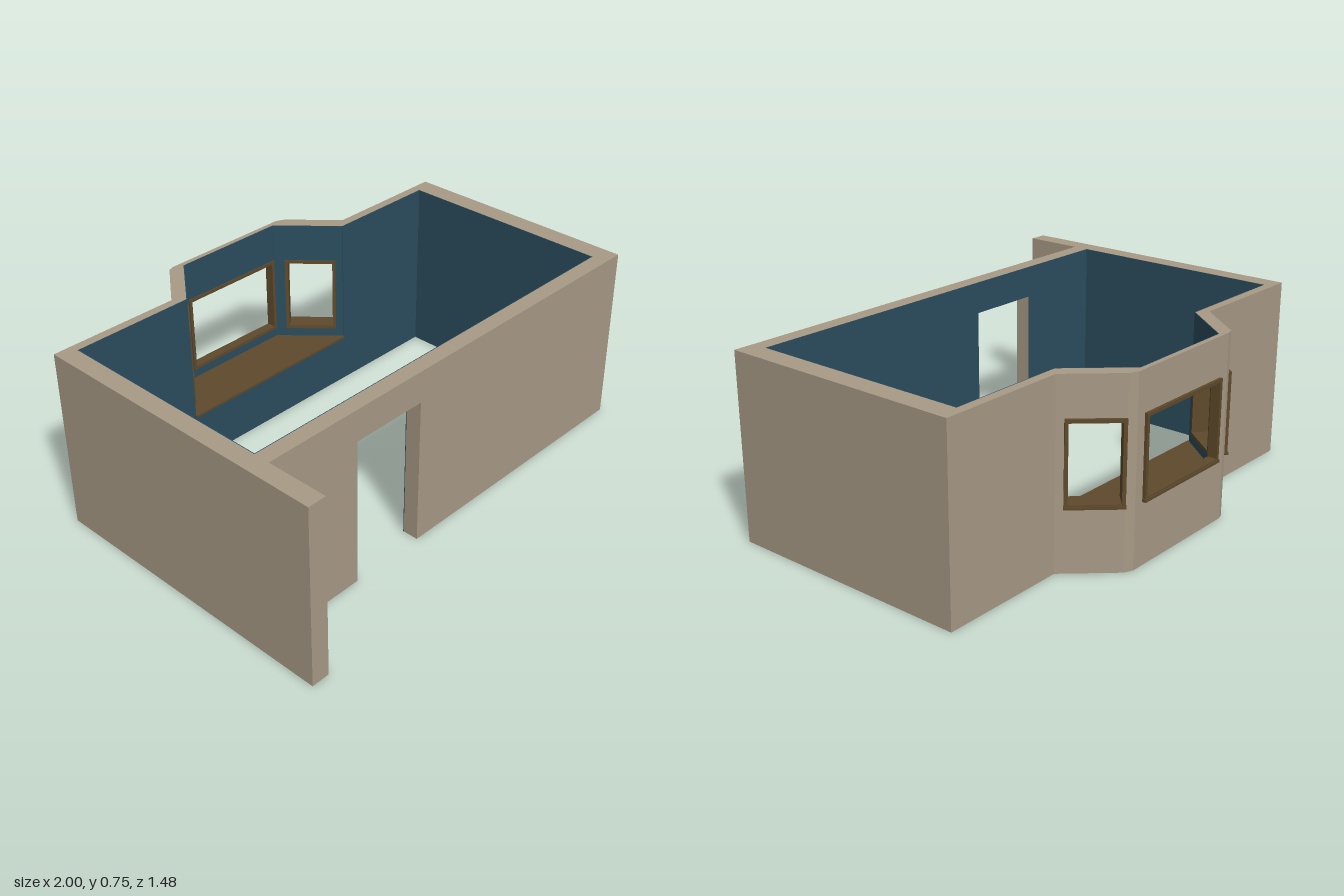
import * as THREE from 'three';

const H = 0.745, SEAT = 0.21;          // wall height, window seat height
const WIN = [0.255, 0.585];            // window bottom and top
const plaster = new THREE.MeshStandardMaterial({ color: 0xa89a86 });
const paint = new THREE.MeshStandardMaterial({ color: 0x2b4d5e });
const wood = new THREE.MeshStandardMaterial({ color: 0x5f4a2c });

export function createModel() {
  const model = new THREE.Group();
  const add = (name, geo, mat) => {
    const mesh = new THREE.Mesh(geo, mat);
    mesh.name = name;
    model.add(mesh);
    return mesh;
  };

  // Horizontal footprint of [x, z] points raised from y0 to y1
  const slab = (name, mat, pts, y0, y1) => {
    const shape = new THREE.Shape(pts.map(([x, z]) => new THREE.Vector2(x, -z)));
    const geo = new THREE.ExtrudeGeometry(shape, { depth: y1 - y0, bevelEnabled: false });
    geo.rotateX(-Math.PI / 2).translate(0, y0, 0);
    return add(name, geo, mat);
  };
  const block = (name, mat, x0, x1, z0, z1, y0, y1) =>
    slab(name, mat, [[x0, z0], [x1, z0], [x1, z1], [x0, z1]], y0, y1);

  // Upright panel from p to q (clockwise round the room, so local +z faces inward);
  // hole = [a, b, bottom, top] along the panel, a hole at floor level is a doorway
  const panel = (name, mat, p, q, [y0, y1], [d0, d1], hole) => {
    const w = Math.hypot(q[0] - p[0], q[1] - p[1]);
    const V = (x, y) => new THREE.Vector2(x, y);
    const outline = [V(0, y0)];
    const [a, b, h0, h1] = hole || [];
    if (hole && h0 === y0) outline.push(V(a, y0), V(a, h1), V(b, h1), V(b, y0));
    outline.push(V(w, y0), V(w, y1), V(0, y1));
    const shape = new THREE.Shape(outline);
    if (hole && h0 > y0) shape.holes.push(new THREE.Path([V(a, h0), V(a, h1), V(b, h1), V(b, h0)]));
    const geo = new THREE.ExtrudeGeometry(shape, { depth: d1 - d0, bevelEnabled: false });
    geo.translate(0, 0, d0);
    const mesh = add(name, geo, mat);
    mesh.position.set(p[0], 0, p[1]);
    mesh.rotation.y = Math.atan2(p[1] - q[1], q[0] - p[0]);
    return mesh;
  };
  const SKIN = [0, 0.003];

  // Main walls, the right one running on past the front
  const xL = -0.925, xR = 0.915, zF = 0.425, zB = -0.49;
  block('rightWall', plaster, -1, xL, -0.528, 0.74, 0, H);
  block('leftWall', plaster, xR, 1, -0.528, 0.49, 0, H);
  const door = [xR + 0.195, xR + 0.52, 0, 0.615];
  panel('frontWall', plaster, [xR, zF], [xL, zF], [0, H], [-0.065, 0], door);
  panel('frontLining', paint, [xR, zF], [xL, zF], [0, H], SKIN, door);
  panel('rightLining', paint, [xL, zF], [xL, zB], [0, H], SKIN);
  panel('leftLining', paint, [xR, zB], [xR, zF], [0, H], SKIN);

  // Plan of one slanted side of the bay
  const T = 0.056, zIn = -0.705, zOut = -0.725, t0 = 0.03, t1 = 0.245;
  const baySide = (i0, i1, winX) => {
    const len = Math.hypot(i1[0] - i0[0], i1[1] - i0[1]);
    const dx = (i1[0] - i0[0]) / len, dz = (i1[1] - i0[1]) / len;
    const s = Math.sign(i0[0]);
    const n = [-s * dz, s * dx];       // outward normal
    const inner = t => [i0[0] + dx * t, i0[1] + dz * t];
    const outer = t => [inner(t)[0] + n[0] * T, inner(t)[1] + n[1] * T];
    const o0 = outer(0);
    const cornerX = o0[0] + dx * (zOut - o0[1]) / dz;
    return { i0, i1, winX, len, inner, outer, o0, c1: outer(t1), c2: [cornerX - s * 0.02, zOut] };
  };
  const R = baySide([-0.42, zB], [-0.25, zIn], -0.24);
  const L = baySide([0.43, zB], [0.235, zIn], 0.23);

  // Back wall beside the bay
  for (const [side, x, name] of [[R, xL, 'right'], [L, xR, 'left']]) {
    slab(name + 'BackWall', plaster, [[x, -0.528], side.o0, side.i0, [x, zB]], 0, H);
  }
  panel('rightBackLining', paint, [xL, zB], R.i0, [0, H], SKIN);
  panel('leftBackLining', paint, L.i0, [xR, zB], [0, H], SKIN);

  // Bay: solid base, rings below and above the windows, piers between them
  const outerLine = [R.o0, R.c1, R.c2, L.c2, L.c1, L.o0];
  const ring = [...outerLine, L.i0, L.i1, R.i1, R.i0];
  slab('bayBase', plaster, [...outerLine, L.i0, R.i0], 0, SEAT);
  slab('bayApron', plaster, ring, SEAT, WIN[0]);
  slab('bayHead', plaster, ring, WIN[1], H);
  for (const s of [R, L]) {
    slab('bayEndPier', plaster, [s.o0, s.outer(t0), s.inner(t0), s.i0], ...WIN);
    slab('bayCornerPier', plaster,
      [s.inner(t1), s.c1, s.c2, [s.winX, zOut], [s.winX, zIn], s.i1], ...WIN);
  }

  // Window seat with a small nosing
  panel('seatFront', paint, R.i0, L.i0, [0, SEAT], SKIN);
  slab('windowSeat', wood,
    [[R.i0[0], zB + 0.008], R.i0, R.i1, L.i1, L.i0, [L.i0[0], zB + 0.008]], SEAT - 0.004, SEAT + 0.006);

  // Bay linings, window frames and sills
  const bays = [
    ['rightWindow', R.i0, R.i1, t0, t1, T],
    ['backWindow', R.i1, L.i1, R.winX - R.i1[0], L.winX - R.i1[0], zIn - zOut],
    ['leftWindow', L.i1, L.i0, L.len - t1, L.len - t0, T],
  ];
  const bar = 0.014;
  for (const [name, p, q, a, b, thick] of bays) {
    panel(name + 'Lining', paint, p, q, [SEAT, H], SKIN, [a, b, ...WIN]);
    const len = Math.hypot(q[0] - p[0], q[1] - p[1]);
    const at = t => [p[0] + (q[0] - p[0]) * t / len, p[1] + (q[1] - p[1]) * t / len];
    panel(name + 'Frame', wood, at(a), at(b), WIN, [-thick - 0.012, 0.008],
      [bar, b - a - bar, WIN[0] + bar, WIN[1] - bar]);
    panel(name + 'Sill', wood, at(a - 0.002), at(b + 0.002), [WIN[0] - 0.003, WIN[0] + 0.008],
      [-thick - 0.016, -thick]);
  }
  return model;
}
